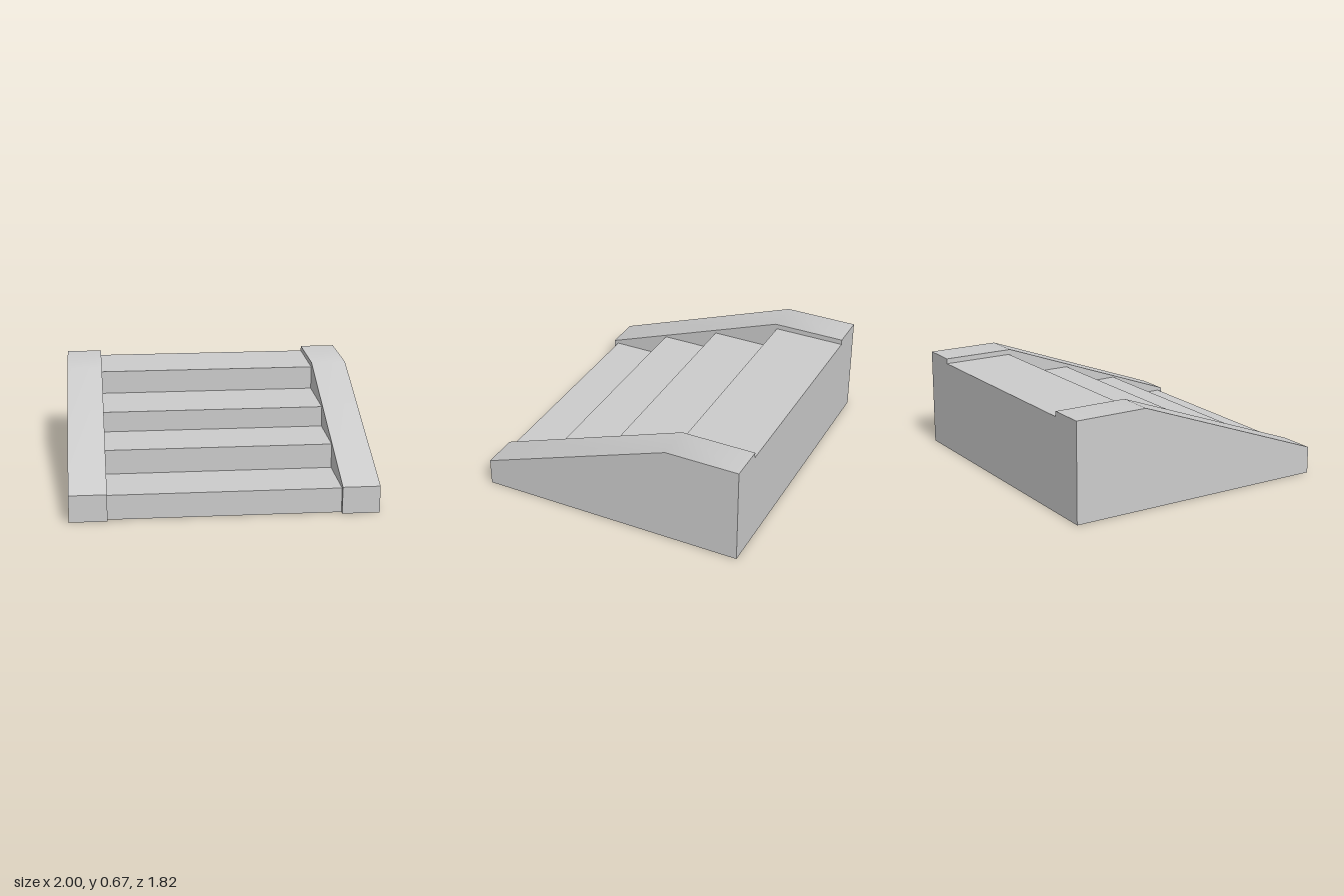
import * as THREE from 'three';

const material = new THREE.MeshStandardMaterial({ color: 0xcccccc, side: THREE.DoubleSide });
const OUTER = 1, INNER = 0.755, FRONT = 0.91, BACK = -0.91;

// Open sheet: a [z, y] profile running front to back, stretched from x0 to x1
function ribbon(name, profile, x0, x1, smooth = false) {
  const positions = [], index = [];
  profile.forEach(([z, y], i) => {
    positions.push(x0, y, z, x1, y, z);
    if (i > 0) {
      const a = 2 * (i - 1);
      index.push(a, a + 1, a + 3, a, a + 3, a + 2);
    }
  });
  let geometry = new THREE.BufferGeometry();
  geometry.setAttribute('position', new THREE.Float32BufferAttribute(positions, 3));
  geometry.setIndex(index);
  if (!smooth) geometry = geometry.toNonIndexed();
  geometry.computeVertexNormals();
  const mesh = new THREE.Mesh(geometry, material);
  mesh.name = name;
  return mesh;
}

// Flat upright panel with a [z, y] outline, facing the given x direction
function panel(name, outline, x, facing) {
  const shape = new THREE.Shape(outline.map(([z, y]) => new THREE.Vector2(-facing * z, y)));
  const geometry = new THREE.ShapeGeometry(shape);
  geometry.rotateY(facing * Math.PI / 2);
  const mesh = new THREE.Mesh(geometry, material);
  mesh.position.x = x;
  mesh.name = name;
  return mesh;
}

// Hollow side wall, open underneath
function sideWall(name, side) {
  const wall = new THREE.Group();
  wall.name = name;
  const top = [[FRONT, 0.18], [-0.41, 0.665], [BACK, 0.665]];
  const outline = [[FRONT, 0], ...top, [BACK, 0]];
  const x0 = Math.min(side * INNER, side * OUTER);
  const x1 = Math.max(side * INNER, side * OUTER);
  wall.add(
    panel('outerPanel', outline, side * OUTER, side),
    panel('innerPanel', outline, side * INNER, -side),
    ribbon('wallFront', [[FRONT, 0], [FRONT, 0.18]], x0, x1),
    ribbon('wallCap', top, x0, x1, true),
    ribbon('wallBack', [[BACK, 0.665], [BACK, 0]], x0, x1)
  );
  return wall;
}

export function createModel() {
  const model = new THREE.Group();
  model.name = 'steps';

  // Risers and treads as one folded sheet
  const riserZ = [0.88, 0.47, 0.06, -0.42];
  const treadY = [0.165, 0.33, 0.47, 0.63];
  const profile = [[riserZ[0], 0]];
  treadY.forEach((y, i) => profile.push([riserZ[i], y], [riserZ[i + 1] ?? BACK, y]));
  model.add(ribbon('stairs', profile, -INNER, INNER));
  model.add(ribbon('backPanel', [[BACK, 0.63], [BACK, 0]], -INNER, INNER));

  model.add(sideWall('leftWall', 1), sideWall('rightWall', -1));
  return model;
}
